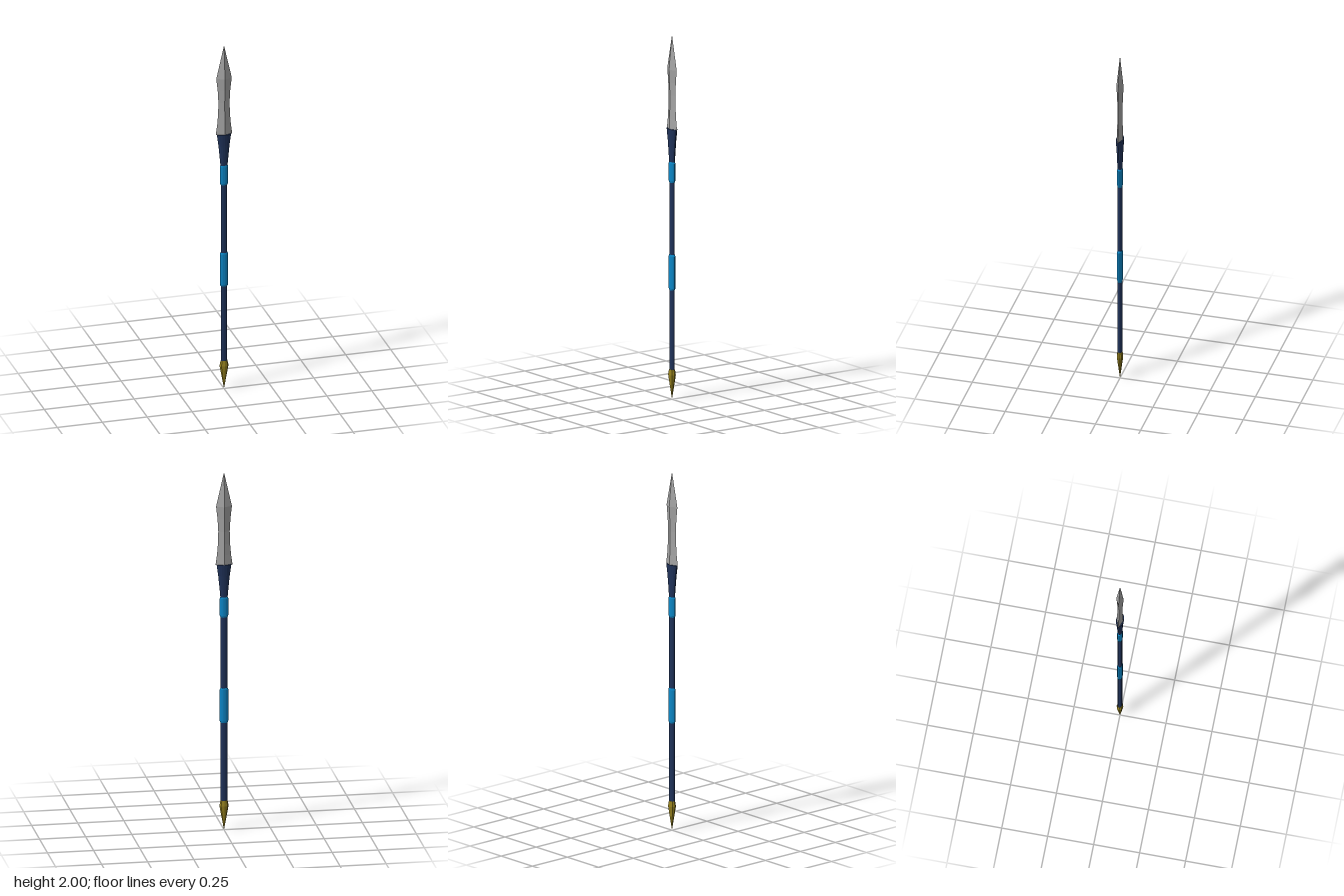
import * as THREE from 'three';

// Lofts [y, halfWidth, halfDepth] sections, listed bottom to top, into a faceted solid.
function loft(sections, sides) {
  const profile = sections.map(([y, w]) => new THREE.Vector2(w, y));
  const geometry = new THREE.LatheGeometry(profile, sides);
  const pos = geometry.attributes.position;
  for (let i = 0; i < pos.count; i++) {
    const [, w, d] = sections[i % sections.length];
    pos.setZ(i, w > 0 ? pos.getZ(i) * d / w : 0);
  }
  const flat = geometry.toNonIndexed();
  flat.computeVertexNormals();
  return flat;
}

export function createModel() {
  const steel = new THREE.MeshStandardMaterial({ color: 0xa6a6a6 });
  const navy = new THREE.MeshStandardMaterial({ color: 0x20335a });
  const blue = new THREE.MeshStandardMaterial({ color: 0x0b86c6 });
  const gold = new THREE.MeshStandardMaterial({ color: 0x94801f });
  steel.name = 'steel';
  navy.name = 'navy';
  blue.name = 'blue';
  gold.name = 'gold';

  const spear = new THREE.Group();
  spear.name = 'spear';
  const add = (name, sections, sides, material) => {
    const mesh = new THREE.Mesh(loft(sections, sides), material);
    mesh.name = name;
    spear.add(mesh);
  };

  // Pointed metal foot
  add('buttSpike', [
    [0, 0, 0], [0.135, 0.025, 0.018], [0.165, 0.019, 0.014], [0.165, 0, 0],
  ], 8, gold);

  // Oval shaft
  add('shaft', [
    [0.15, 0, 0], [0.15, 0.018, 0.012], [1.32, 0.018, 0.012], [1.32, 0, 0],
  ], 16, navy);

  // Two wrapped grips with bevelled ends
  for (const [name, bottom, top] of [['lowerGrip', 0.6, 0.795], ['upperGrip', 1.19, 1.305]]) {
    add(name, [
      [bottom, 0, 0], [bottom, 0.019, 0.0125], [bottom + 0.01, 0.0235, 0.0145],
      [top - 0.01, 0.0235, 0.0145], [top, 0.019, 0.0125], [top, 0, 0],
    ], 16, blue);
  }

  // Flared socket under the blade
  add('socket', [
    [1.295, 0, 0], [1.295, 0.019, 0.0125], [1.36, 0.025, 0.0145],
    [1.42, 0.031, 0.017], [1.485, 0.04, 0.021], [1.485, 0, 0],
  ], 16, navy);

  // Diamond-section blade with a narrow waist
  add('blade', [
    [1.483, 0, 0], [1.483, 0.046, 0.018], [1.54, 0.038, 0.016], [1.6, 0.033, 0.0145],
    [1.67, 0.031, 0.014], [1.74, 0.035, 0.016], [1.81, 0.043, 0.02], [2, 0, 0],
  ], 4, steel);

  return spear;
}
